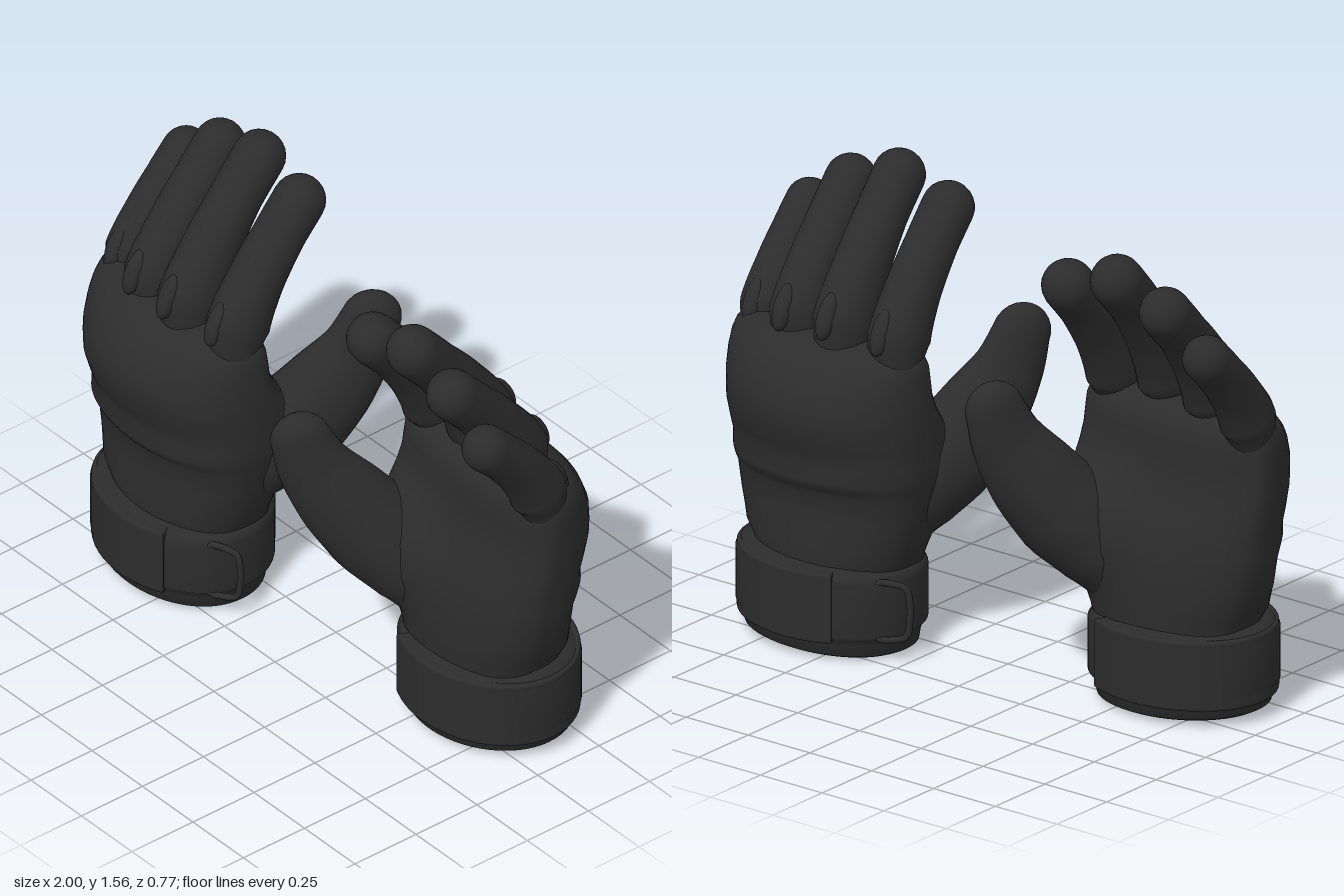
import * as THREE from 'three';

const fabric = new THREE.MeshStandardMaterial({ color: 0x2c2c2c });
fabric.name = 'black fabric';
const SEG = 56;

function add(group, name, geometry) {
  const mesh = new THREE.Mesh(geometry, fabric);
  mesh.name = name;
  group.add(mesh);
  return mesh;
}

// Skin over a stack of closed rings, with both ends capped
function loft(rings) {
  const n = rings[0].length, pos = [], idx = [];
  rings.forEach(r => r.forEach(p => pos.push(p.x, p.y, p.z)));
  for (let i = 0; i < rings.length - 1; i++) {
    for (let j = 0; j < n; j++) {
      const k = (j + 1) % n, a = i * n + j, b = i * n + k;
      idx.push(a, b, b + n, a, b + n, a + n);
    }
  }
  [0, rings.length - 1].forEach((row, end) => {
    const c = new THREE.Vector3();
    rings[row].forEach(p => c.addScaledVector(p, 1 / n));
    const ci = pos.length / 3;
    pos.push(c.x, c.y, c.z);
    for (let j = 0; j < n; j++) {
      const a = row * n + j, b = row * n + (j + 1) % n;
      if (end) idx.push(ci, a, b); else idx.push(ci, b, a);
    }
  });
  const g = new THREE.BufferGeometry();
  g.setAttribute('position', new THREE.Float32BufferAttribute(pos, 3));
  g.setIndex(idx);
  g.computeVertexNormals();
  return g;
}

// Horizontal rounded section: the back (+z) is domed, the palm (-z) can be flatter
function section(y, x0, x1, z0, z1, zc = (z0 + z1) / 2, palmPower = 1) {
  const ring = [], cx = (x0 + x1) / 2, rx = (x1 - x0) / 2;
  for (let j = 0; j < SEG; j++) {
    const t = j / SEG * Math.PI * 2, s = -Math.sin(t);
    const z = s > 0 ? zc + (z1 - zc) * Math.pow(s, 0.92) : zc - (zc - z0) * Math.pow(-s, palmPower);
    ring.push(new THREE.Vector3(cx + rx * Math.cos(t), y, z));
  }
  return ring;
}

// Round-tipped limb along points [x, y, z, half width, half depth], its section turned by twist
function limb(points, twist = 0) {
  const curve = new THREE.CatmullRomCurve3(points.map(p => new THREE.Vector3(p[0], p[1], p[2])));
  const rings = [], steps = 24, last = points.length - 1;
  const ring = (c, T, ru, rv) => {
    const u = new THREE.Vector3(1, 0, 0).addScaledVector(T, -T.x).normalize().applyAxisAngle(T, -twist);
    const v = new THREE.Vector3().crossVectors(T, u);
    const out = [];
    for (let j = 0; j < 24; j++) {
      const t = j / 24 * Math.PI * 2;
      out.push(c.clone().addScaledVector(u, ru * Math.cos(t)).addScaledVector(v, rv * Math.sin(t)));
    }
    rings.push(out);
  };
  for (let i = 0; i <= steps; i++) {
    const t = i / steps, f = t * last, k = Math.min(Math.floor(f), last - 1), w = f - k;
    const mix = n => points[k][n] * (1 - w) + points[k + 1][n] * w;
    ring(curve.getPoint(t), curve.getTangent(t), mix(3), mix(4));
  }
  const T = curve.getTangent(1), end = curve.getPoint(1), [, , , ru, rv] = points[last];
  for (let i = 1; i <= 6; i++) {
    const a = i / 6.2 * Math.PI / 2, c = Math.cos(a);
    ring(end.clone().addScaledVector(T, rv * Math.sin(a)), T, ru * c, rv * c);
  }
  return loft(rings);
}

// Curved strip wrapped around the cuff between two angles
function band(rx, rz, from, to, y, height) {
  const shape = new THREE.Shape(), pts = [];
  const arc = (k, reverse) => {
    for (let i = 0; i <= 36; i++) {
      const t = from + (to - from) * (reverse ? 36 - i : i) / 36;
      pts.push(new THREE.Vector2((rx - k) * Math.cos(t), (rz - k) * Math.sin(t)));
    }
  };
  arc(0.01, false);
  arc(0.04, true);
  shape.setFromPoints(pts);
  const g = new THREE.ExtrudeGeometry(shape, {
    depth: height - 0.02, bevelEnabled: true, bevelThickness: 0.01, bevelSize: 0.01, bevelSegments: 3,
  });
  g.rotateX(-Math.PI / 2);
  g.translate(-0.61, y + 0.01, 0.115);
  return g;
}

function createGlove() {
  const glove = new THREE.Group();

  // Hand body: y, x range, z range
  const rows = [
    [0.24, -0.89, -0.33, -0.10, 0.32], [0.31, -0.89, -0.31, -0.10, 0.315], [0.36, -0.92, -0.29, -0.105, 0.325],
    [0.45, -0.95, -0.27, -0.105, 0.305], [0.54, -0.965, -0.25, -0.095, 0.31], [0.57, -0.968, -0.245, -0.088, 0.335],
    [0.60, -0.97, -0.24, -0.082, 0.352], [0.65, -0.975, -0.24, -0.07, 0.34], [0.70, -0.98, -0.24, -0.05, 0.36],
    [0.77, -0.985, -0.24, -0.028, 0.385], [0.82, -0.987, -0.242, -0.018, 0.386], [0.87, -0.988, -0.245, -0.013, 0.38],
    [0.93, -0.99, -0.25, -0.01, 0.35], [0.97, -0.988, -0.253, 0, 0.318], [1.0, -0.98, -0.262, 0.02, 0.285],
    [1.025, -0.955, -0.285, 0.06, 0.245], [1.035, -0.92, -0.32, 0.1, 0.2],
  ];
  const body = loft(rows.map(([y, x0, x1, z0, z1]) => section(y, x0, x1, z0, z1, 0.11, 0.7)));
  // Swell the palm towards the thumb
  const b = body.attributes.position;
  for (let i = 0; i < b.count; i++) {
    const y = b.getY(i), z = b.getZ(i);
    const across = THREE.MathUtils.smoothstep(b.getX(i), -0.66, -0.3);
    const along = THREE.MathUtils.smoothstep(y, 0.33, 0.6) * (1 - THREE.MathUtils.smoothstep(y, 0.65, 0.9));
    const depth = 1 - THREE.MathUtils.smoothstep(z, 0.0, 0.2);
    b.setZ(i, z - 0.09 * across * along * depth);
  }
  body.computeVertexNormals();
  add(glove, 'handBody', body);

  // Fingers: base x, tip x, base z, tip height, tip radius, base half width, base half depth
  const fingers = [
    ['little', -0.905, -0.922, 0.09, 1.302, 0.078, 0.088, 0.1],
    ['ring', -0.727, -0.755, 0.145, 1.418, 0.084, 0.096, 0.12],
    ['middle', -0.532, -0.56, 0.165, 1.48, 0.086, 0.1, 0.125],
    ['index', -0.346, -0.362, 0.13, 1.418, 0.086, 0.096, 0.115],
  ];
  for (const [name, x, tipX, z, tipY, r, rw, rd] of fingers) {
    const at = (f, h, d, blend) => [
      x + (tipX - x) * f, 0.92 + (tipY - 0.92) * h, z + (-0.148 - z) * d,
      r + (rw - r) * blend, r + (rd - r) * blend,
    ];
    add(glove, name + 'Finger', limb([
      at(0, 0, -0.06, -0.8), at(0.25, 0.28, 0.06, 0.9), at(0.5, 0.56, 0.34, 0.3), at(0.8, 0.81, 0.69, -0.04), at(1, 1, 1, 0),
    ]));
    // Raised knuckle ridge on the back of the finger base
    const ridge = add(glove, name + 'Knuckle', new THREE.SphereGeometry(1, 16, 12));
    ridge.scale.set(0.034, 0.08, 0.034);
    ridge.position.set(x - 0.008, 0.92 + (tipY - 0.92) * 0.36, z + rd * 0.78 - 0.025);
    ridge.rotation.x = -0.45;
  }

  // Thumb growing out of the palm
  add(glove, 'thumb', limb([
    [-0.45, 0.38, 0.05, 0.12, 0.11], [-0.385, 0.5, -0.005, 0.15, 0.15], [-0.305, 0.62, -0.09, 0.148, 0.165],
    [-0.243, 0.76, -0.185, 0.112, 0.148], [-0.204, 0.88, -0.255, 0.076, 0.12], [-0.182, 0.995, -0.295, 0.063, 0.098],
  ], 0.5));

  // Open cuff, from the inner lining round the rim to the outer wall: y, inset
  const cuffRows = [[0.4, 0.08], [0.2, 0.06], [0.05, 0.055], [0.012, 0.046], [0.003, 0.028], [0.012, 0.01],
    [0.05, 0.004], [0.07, -0.004], [0.085, -0.018], [0.26, -0.018], [0.285, -0.002], [0.3, 0.03]];
  const cuff = loft(cuffRows.map(([y, k]) => section(y, -0.925 + k, -0.31 - k, -0.13 + k, 0.36 - k)));
  const p = cuff.attributes.position;
  for (let i = 0; i < p.count; i++) p.setY(i, p.getY(i) - 0.035 * (p.getX(i) + 0.31) * (1 - p.getY(i)));
  cuff.computeVertexNormals();
  add(glove, 'cuff', cuff);

  // Strap around the outer side, and a buckle loop on the thumb side
  add(glove, 'strap', band(0.332, 0.268, 1.06, Math.PI * 2 - 1.06, 0.065, 0.235));
  const loop = [[-0.34, 0.085], [-0.265, 0.085], [-0.248, 0.11], [-0.243, 0.18], [-0.248, 0.24], [-0.265, 0.262], [-0.34, 0.262]];
  const path = new THREE.CatmullRomCurve3(
    loop.map(([x, y]) => new THREE.Vector3(x, y, 0.19 - (x + 0.243) * 0.5)), true, 'catmullrom', 0.3);
  add(glove, 'buckleLoop', new THREE.TubeGeometry(path, 48, 0.011, 10, true));
  return glove;
}

export function createModel() {
  const model = new THREE.Group();
  model.name = 'gloves';
  const backFacing = createGlove();
  backFacing.name = 'gloveShowingBack';
  const palmFacing = createGlove();
  palmFacing.name = 'gloveShowingPalm';
  palmFacing.rotation.y = Math.PI;
  model.add(backFacing, palmFacing);
  return model;
}
